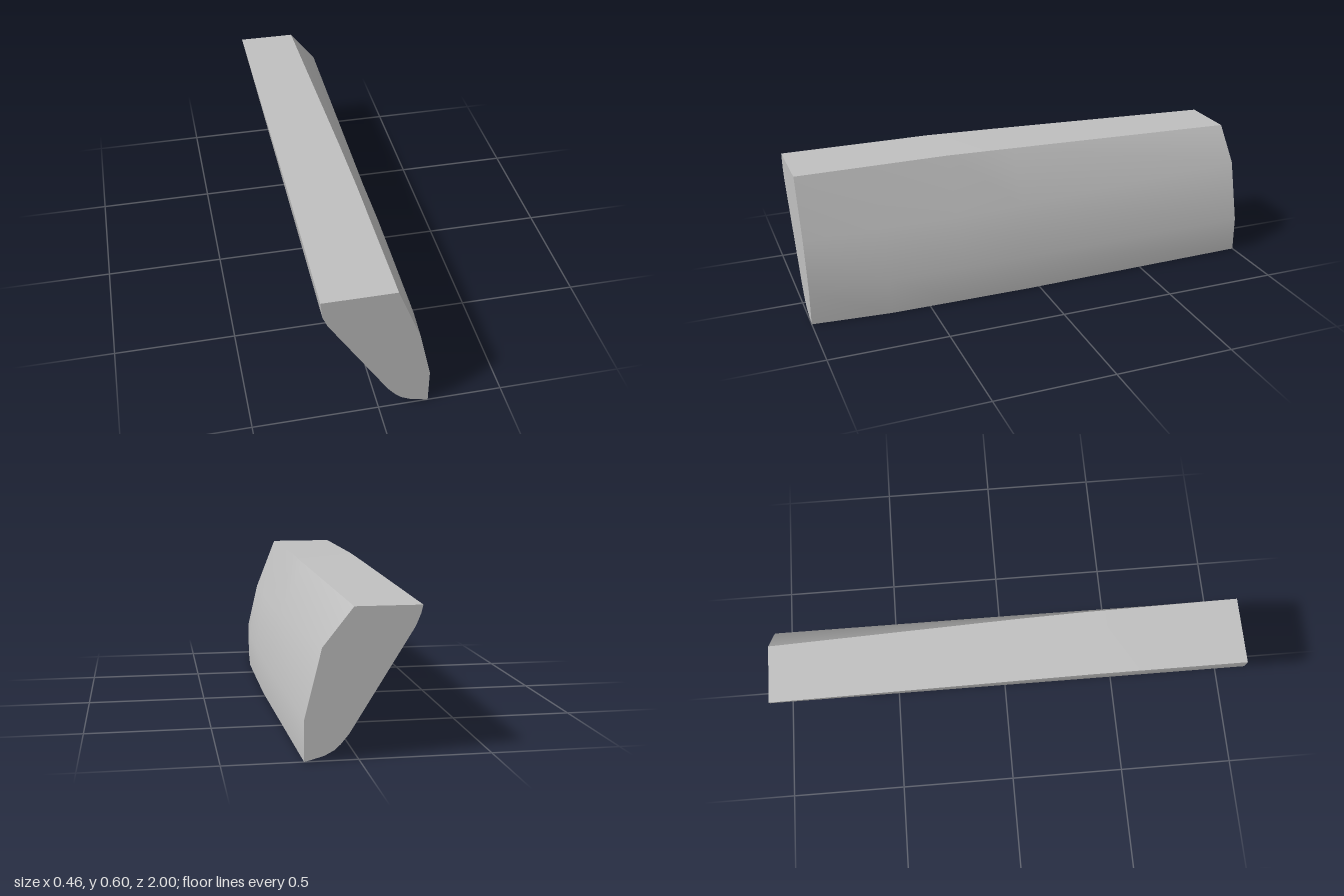
import * as THREE from 'three';
import { toCreasedNormals } from 'three/addons/utils/BufferGeometryUtils.js';

// Stations along the length: z, top height, top right x, knee x, knee y, right side x
const stations = [
  [1, 0.6, 0.058, 0.152, 0.36, 0.2],
  [0.67, 0.6, 0.054, 0.152, 0.36, 0.226],
  [0.35, 0.6, 0.05, 0.152, 0.365, 0.227],
  [0.05, 0.592, 0.045, 0.152, 0.37, 0.227],
  [-1, 0.56, 0.02, 0.135, 0.415, 0.2],
];

// Cross-section, counterclockwise from the top left corner
function section([z, top, topX, kneeX, kneeY, sideX]) {
  return [
    [-0.23, top], [-0.223, 0.53], [-0.204, 0.484], [0.035, 0.098],
    [0.066, 0.06], [0.09, 0.038], [0.127, 0.019], [0.182, 0.004],
    [sideX, 0], [sideX, 0.153], [kneeX, kneeY], [topX, top],
  ].map(([x, y]) => [x, y, z]);
}

function loft(rings) {
  const n = rings[0].length;
  const last = (rings.length - 1) * n;
  const index = [];
  // Skin between neighbouring sections
  for (let s = 0; s < rings.length - 1; s++) {
    for (let i = 0; i < n; i++) {
      const a = s * n + i, b = s * n + (i + 1) % n;
      index.push(a, a + n, b, b, a + n, b + n);
    }
  }
  // Front and back end caps
  for (let i = 1; i < n - 1; i++) {
    index.push(0, i, i + 1, last, last + i + 1, last + i);
  }
  const geometry = new THREE.BufferGeometry();
  geometry.setAttribute('position', new THREE.Float32BufferAttribute(rings.flat(2), 3));
  geometry.setIndex(index);
  return toCreasedNormals(geometry, THREE.MathUtils.degToRad(35));
}

export function createModel() {
  const grey = new THREE.MeshStandardMaterial({ color: 0xc0c0c0 });
  grey.name = 'light grey';
  const body = new THREE.Mesh(loft(stations.map(section)), grey);
  body.name = 'slantedBody';
  const group = new THREE.Group();
  group.name = 'slantedBlock';
  group.add(body);
  return group;
}
